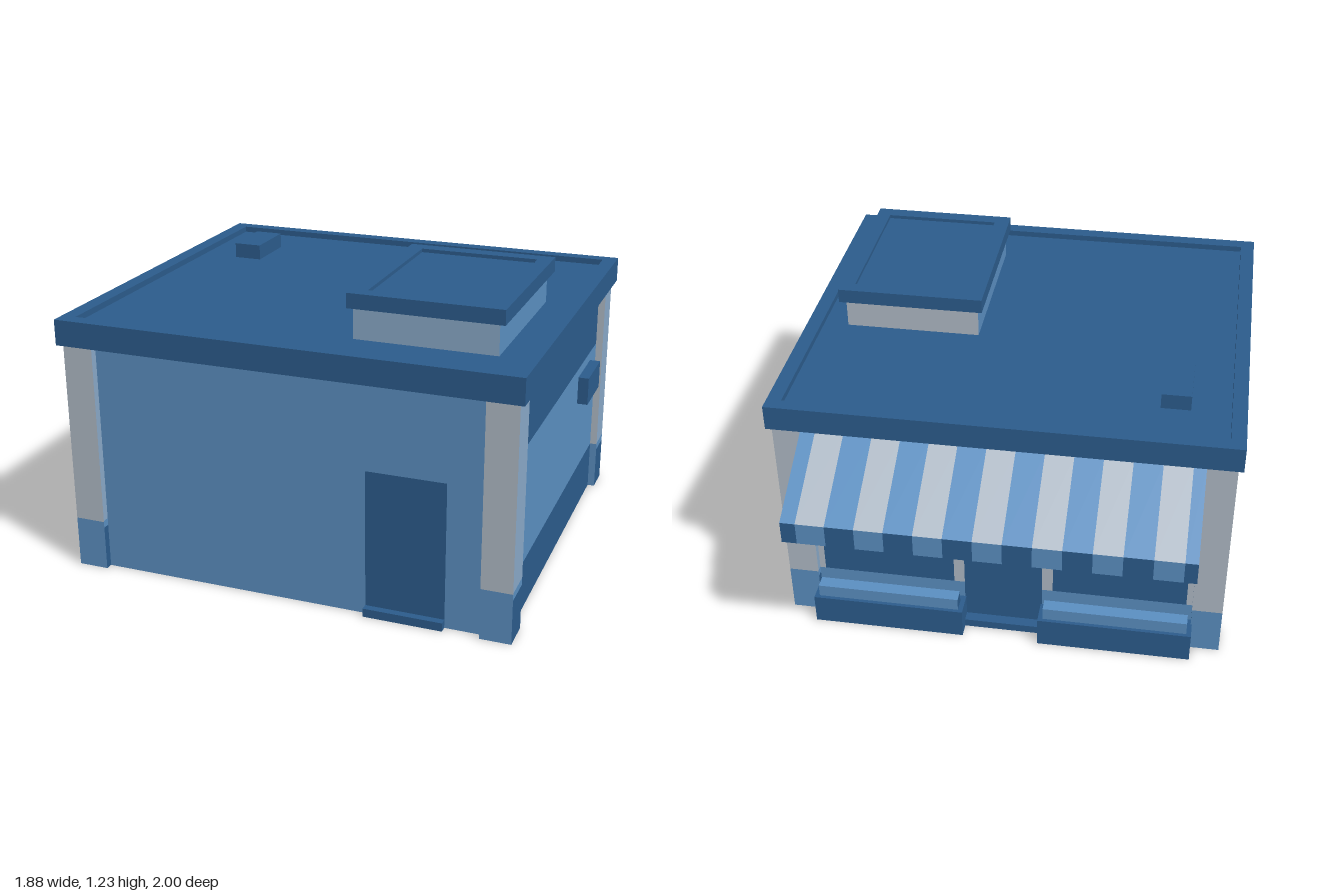
import * as THREE from 'three';

const paint = (name, color) => {
  const m = new THREE.MeshStandardMaterial({ color, side: THREE.DoubleSide });
  m.name = name;
  return m;
};

export function createModel() {
  const dark = paint('dark blue', 0x2c5c8c);
  const mid = paint('mid blue', 0x5b8fc1);
  const pale = paint('pale blue', 0x89a9c8);
  const grey = paint('light grey', 0xb0bbc7);

  const model = new THREE.Group();
  model.name = 'shop';
  const group = (name) => {
    const g = new THREE.Group();
    g.name = name;
    model.add(g);
    return g;
  };
  const add = (parent, name, geometry, material) => {
    const mesh = new THREE.Mesh(geometry, material);
    mesh.name = name;
    parent.add(mesh);
    return mesh;
  };

  // Flat polygon fan, corners counter-clockwise from outside
  const face = (parent, name, corners, material) => {
    const g = new THREE.BufferGeometry();
    g.setAttribute('position', new THREE.Float32BufferAttribute(corners.flat(), 3));
    const index = [];
    for (let i = 1; i < corners.length - 1; i++) index.push(0, i, i + 1);
    g.setIndex(index);
    g.computeVertexNormals();
    return add(parent, name, g, material);
  };

  // Box given by its limits
  const box = (parent, name, [x0, x1], [y0, y1], [z0, z1], material, openBottom = false) => {
    const g = new THREE.BoxGeometry(x1 - x0, y1 - y0, z1 - z0);
    g.translate((x0 + x1) / 2, (y0 + y1) / 2, (z0 + z1) / 2);
    if (openBottom) {
      const kept = Array.from(g.index.array).filter((_, i) => i < 18 || i >= 24);
      g.setIndex(kept);
      g.clearGroups();
    }
    return add(parent, name, g, material);
  };

  // Rectangular rim around a sunken panel
  const rim = (parent, name, [x0, x1], [y0, y1], [z0, z1], [hx0, hx1], [hz0, hz1], material) => {
    const rect = (C, a, b, c, d) => new C([[a, c], [b, c], [b, d], [a, d]].map((p) => new THREE.Vector2(...p)));
    const shape = rect(THREE.Shape, x0, x1, -z1, -z0);
    shape.holes.push(rect(THREE.Path, hx0, hx1, -hz1, -hz0));
    const g = new THREE.ExtrudeGeometry(shape, { depth: y1 - y0, bevelEnabled: false });
    g.rotateX(-Math.PI / 2).translate(0, y0, 0);
    return add(parent, name, g, material);
  };

  // Walls: follow the plan outline, each stretch stacked from colour bands
  const top = 0.97;
  const pillarFace = [[0.21, mid], [top, grey]];
  const pillarSide = [[0.185, dark], [0.215, mid], [top, pale]];
  const sideWall = [[0.21, dark], [0.7, mid], [top, dark]];
  const plain = [[top, mid]];
  const doorway = [[0.6, dark], [top, mid]];
  const shopDoor = [[0.6, dark], [top, grey]];
  const shopWindow = [[0.21, mid], [0.6, dark], [top, grey]];
  const X = 0.92, x = 0.89, p = 0.795;
  const sideRun = (s) => [
    [s * X, 0.85, 'pillar', pillarSide],
    [s * x, 0.85, 'pillarReturn', pillarFace],
    [s * x, -0.52, 'sideWall', sideWall],
    [s * X, -0.52, 'pillarReturn', pillarFace],
    [s * X, -0.645, 'pillar', pillarSide],
  ];
  const leftRun = [
    [-X, -0.52, 'pillar', pillarSide],
    [-x, -0.52, 'pillarReturn', pillarFace],
    [-x, 0.85, 'sideWall', sideWall],
    [-X, 0.85, 'pillarReturn', pillarFace],
    [-X, 0.98, 'pillar', pillarSide],
  ];
  const outline = [
    [-p, 0.98, 'pillar', pillarFace],
    [-p, 0.95, 'pillarReturn', pillarSide],
    [0.33, 0.95, 'frontWall', plain],
    [0.65, 0.95, 'frontDoor', doorway],
    [p, 0.95, 'frontWall', plain],
    [p, 0.98, 'pillarReturn', pillarSide],
    [X, 0.98, 'pillar', pillarFace],
    ...sideRun(1),
    [p, -0.645, 'pillar', pillarFace],
    [p, -0.615, 'pillarReturn', pillarSide],
    [0.77, -0.615, 'windowFrame', pillarFace],
    [0.21, -0.615, 'shopWindow', shopWindow],
    [0.165, -0.615, 'windowFrame', pillarFace],
    [-0.165, -0.615, 'shopDoor', shopDoor],
    [-0.21, -0.615, 'windowFrame', pillarFace],
    [-0.77, -0.615, 'shopWindow', shopWindow],
    [-p, -0.615, 'windowFrame', pillarFace],
    [-p, -0.645, 'pillarReturn', pillarSide],
    [-X, -0.645, 'pillar', pillarFace],
    ...leftRun,
  ];
  const walls = group('walls');
  let [ax, az] = [-X, 0.98];
  for (const [bx, bz, name, bands] of outline) {
    let y0 = 0;
    for (const [y1, material] of bands) {
      face(walls, name, [[ax, y0, az], [bx, y0, bz], [bx, y1, bz], [ax, y1, az]], material);
      y0 = y1;
    }
    [ax, az] = [bx, bz];
  }

  // Door steps and the wall unit
  box(model, 'frontStep', [0.33, 0.65], [0, 0.035], [0.94, 0.98], dark);
  box(model, 'shopStep', [-0.16, 0.16], [0, 0.035], [-0.66, -0.61], dark);
  box(model, 'wallUnit', [0.88, 0.935], [0.54, 0.66], [-0.4, -0.16], dark);

  // Roof slab with raised rim
  const roof = group('roof');
  box(roof, 'roofSlab', [-0.94, 0.94], [0.96, 1.04], [-0.665, 1], dark);
  rim(roof, 'roofRim', [-0.94, 0.94], [1.04, 1.065], [-0.665, 1], [-0.88, 0.88], [-0.61, 0.94], dark);
  box(roof, 'roofVent', [-0.72, -0.6], [1.03, 1.105], [-0.4, -0.165], dark);

  // Rooftop housing with capped, sunken lid
  box(roof, 'housing', [0.205, 0.775], [1.03, 1.17], [0.025, 0.745], [mid, mid, dark, dark, pale, grey]);
  box(roof, 'housingCap', [0.185, 0.8], [1.165, 1.21], [0, 0.765], dark);
  rim(roof, 'housingRim', [0.185, 0.8], [1.21, 1.225], [0, 0.765], [0.25, 0.74], [0.06, 0.705], dark);

  // Striped awning over the shop side
  const awning = group('awning');
  const stops = [-0.8];
  for (let i = 0; i < 14; i++) stops.push(-0.75 + i * 0.1146);
  stops.push(0.8);
  for (let i = 0; i < stops.length - 1; i++) {
    const [a, b] = [stops[i], stops[i + 1]];
    face(awning, 'awningStripe', [[b, 0.77, -1], [a, 0.77, -1], [a, 0.96, -0.65], [b, 0.96, -0.65]], i % 2 ? grey : mid);
    face(awning, 'valanceStripe', [[b, 0.675, -1], [a, 0.675, -1], [a, 0.77, -1], [b, 0.77, -1]], i % 2 ? mid : dark);
  }
  const profile = [[0.675, -0.615], [0.675, -1], [0.77, -1], [0.96, -0.65], [0.96, -0.615]];
  face(awning, 'awningEnd', profile.map(([y, z]) => [0.8, y, z]), dark);
  face(awning, 'awningEnd', profile.map(([y, z]) => [-0.8, y, z]).reverse(), dark);
  face(awning, 'awningUnderside', [[-0.8, 0.675, -1], [0.8, 0.675, -1], [0.8, 0.675, -0.615], [-0.8, 0.675, -0.615]], dark);

  // Planters under the shop windows
  for (const s of [1, -1]) {
    const span = (a, b) => (s > 0 ? [a, b] : [-b, -a]);
    const planters = group('planter');
    box(planters, 'planterBox', span(0.16, 0.8), [0, 0.13], [-0.72, -0.616], dark, true);
    box(planters, 'planterTop', span(0.18, 0.78), [0.13, 0.185], [-0.705, -0.65], [dark, dark, mid, dark, mid, mid]);
  }
  return model;
}
